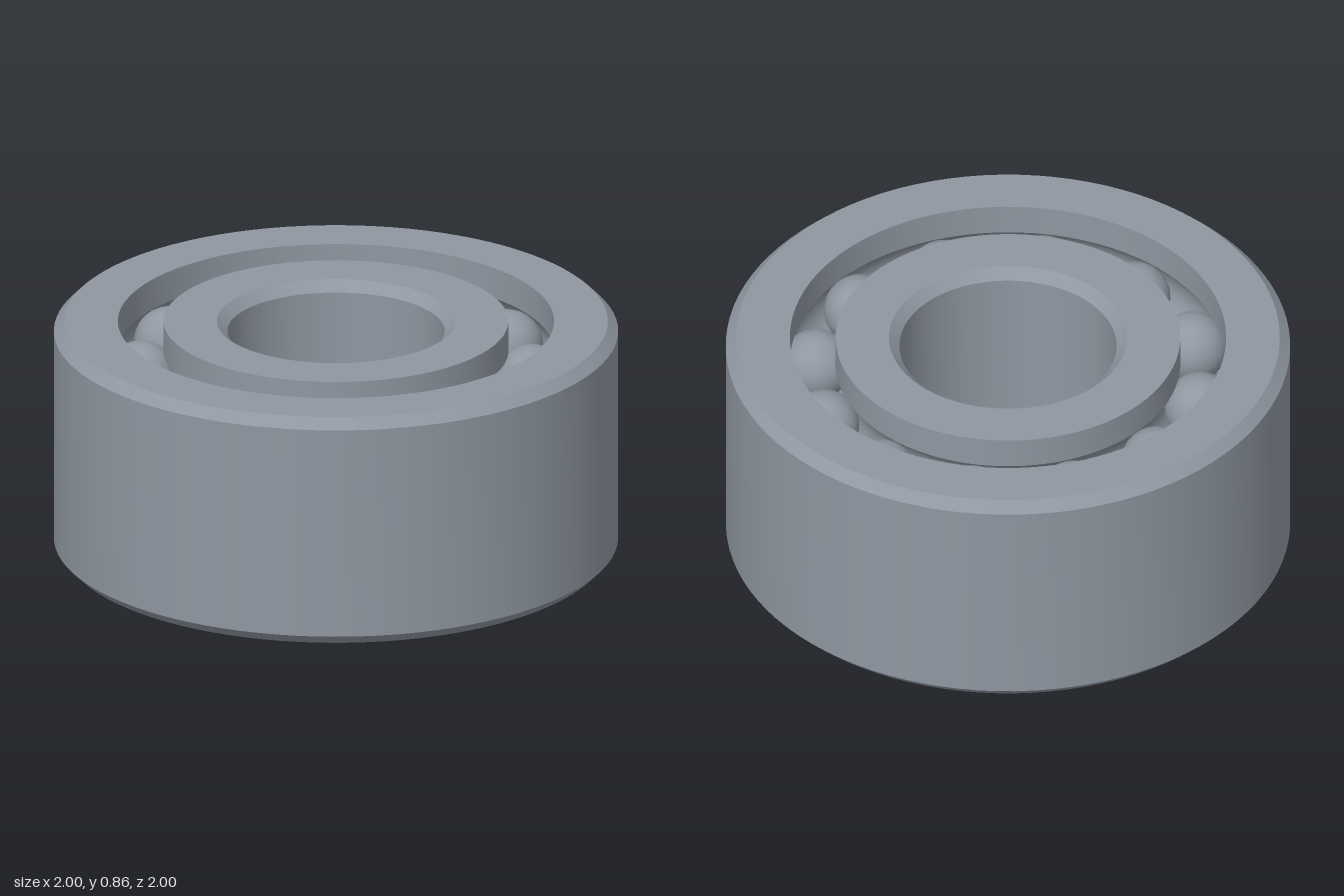
import * as THREE from 'three';
import { toCreasedNormals } from 'three/addons/utils/BufferGeometryUtils.js';

const HEIGHT = 0.855;
const CHAMFER = 0.037;
const PITCH = 0.692;               // radius of the ball circle
const BALL = 0.126;
const ROWS = [HEIGHT * 0.25, HEIGHT * 0.75];
const BALLS_PER_ROW = 12;

// Arc of a raceway groove in the ring profile, from angle a to angle b
function groove(y, a, b, steps = 12) {
  const r = BALL + 0.003;
  return Array.from({ length: steps + 1 }, (_, i) => {
    const t = a + (b - a) * i / steps;
    return [PITCH + r * Math.cos(t), y + r * Math.sin(t)];
  });
}

// Closed profile, counter-clockwise, turned around the y axis
function ring(name, profile, material) {
  const points = [...profile, profile[0]].map(([x, y]) => new THREE.Vector2(x, y));
  const geometry = toCreasedNormals(new THREE.LatheGeometry(points, 96), 0.5);
  const mesh = new THREE.Mesh(geometry, material);
  mesh.name = name;
  return mesh;
}

export function createModel() {
  const model = new THREE.Group();
  model.name = 'ballBearing';
  const steel = new THREE.MeshStandardMaterial({ color: 0x8f97a1 });
  steel.name = 'steel grey';

  // Outer ring: chamfered outside, two grooves inside
  const outerWall = 0.773;
  const outerHalf = Math.acos((outerWall - PITCH) / (BALL + 0.003));
  model.add(ring('outerRing', [
    [outerWall, 0], [1 - CHAMFER, 0], [1, CHAMFER],
    [1, HEIGHT - CHAMFER], [1 - CHAMFER, HEIGHT], [outerWall, HEIGHT],
    ...groove(ROWS[1], outerHalf, -outerHalf),
    ...groove(ROWS[0], outerHalf, -outerHalf),
  ], steel));

  // Inner ring: two grooves outside, chamfered bore
  const innerWall = 0.611, bore = 0.385;
  const innerHalf = Math.acos((PITCH - innerWall) / (BALL + 0.003));
  model.add(ring('innerRing', [
    [bore + CHAMFER, 0], [innerWall, 0],
    ...groove(ROWS[0], Math.PI + innerHalf, Math.PI - innerHalf),
    ...groove(ROWS[1], Math.PI + innerHalf, Math.PI - innerHalf),
    [innerWall, HEIGHT], [bore + CHAMFER, HEIGHT],
    [bore, HEIGHT - CHAMFER], [bore, CHAMFER],
  ], steel));

  // Two aligned rows of balls
  const ballGeometry = new THREE.SphereGeometry(BALL, 32, 20);
  ROWS.forEach((y, row) => {
    const group = new THREE.Group();
    group.name = row ? 'upperBalls' : 'lowerBalls';
    for (let i = 0; i < BALLS_PER_ROW; i++) {
      const angle = THREE.MathUtils.degToRad(12 + i * 360 / BALLS_PER_ROW);
      const ball = new THREE.Mesh(ballGeometry, steel);
      ball.name = 'ball';
      ball.position.set(PITCH * Math.cos(angle), y, PITCH * Math.sin(angle));
      group.add(ball);
    }
    model.add(group);
  });

  return model;
}
